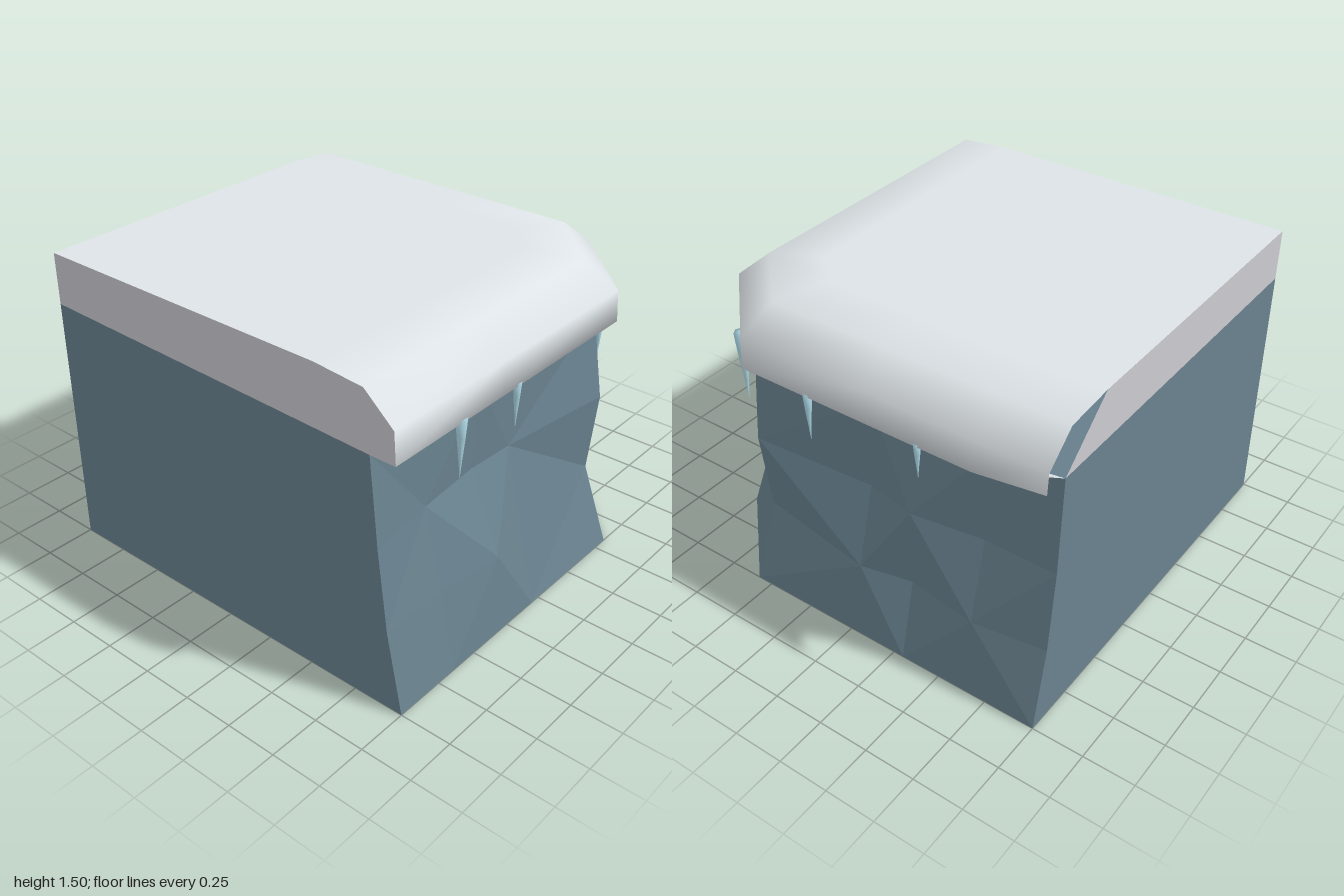
import * as THREE from 'three';

const rock = new THREE.MeshStandardMaterial({ color: 0x6a8390, flatShading: true });
rock.name = 'blue grey rock';
const snow = new THREE.MeshStandardMaterial({ color: 0xe8eef2, side: THREE.DoubleSide });
snow.name = 'snow';
const cutSnow = new THREE.MeshStandardMaterial({ color: 0xccccd2, side: THREE.DoubleSide });
cutSnow.name = 'cut snow';
const ice = new THREE.MeshStandardMaterial({ color: 0xb0dcea });
ice.name = 'ice';

function mesh(name, points, index, material) {
  const g = new THREE.BufferGeometry();
  g.setAttribute('position', new THREE.Float32BufferAttribute(points.flat(), 3));
  g.setIndex(index);
  g.computeVertexNormals();
  const m = new THREE.Mesh(g, material);
  m.name = name;
  return m;
}

// Flat polygon, fanned from its first corner
function polygon(name, points, material) {
  const index = [];
  for (let i = 1; i < points.length - 1; i++) index.push(0, i, i + 1);
  return mesh(name, points, index, material);
}

// Faceted cliff: depth of the front and side walls at four heights
const heights = [0, 0.39, 0.78, 1.2];
const frontColumns = [
  [-1, [1, 0.92, 0.87, 0.83]],
  [-0.65, [1, 0.92, 0.83, 0.83]],
  [-0.3, [1, 0.965, 0.805, 0.83]],
  [-0.05, [1, 0.91, 0.82, 0.83]],
  [0.58, [1, 0.87, 0.9, 0.83]],
];
const sideColumns = [
  [0.58, [1, 0.87, 0.9, 0.83]],
  [-0.05, [1, 0.965, 0.86, 0.83]],
  [-0.3, [1, 0.91, 0.91, 0.83]],
  [-0.65, [1, 0.96, 0.86, 0.83]],
  [-1, [1, 0.91, 0.86, 0.83]],
];

function buildRock() {
  const group = new THREE.Group();
  group.name = 'rock';
  const pinch = (t, r) => (t === 0.58 && r === 1 ? 0.56 : t);
  const columns = [
    ...frontColumns.map(([x, d]) => d.map((z, r) => [pinch(x, r), heights[r], z])),
    ...sideColumns.map(([z, d]) => d.map((x, r) => [x, heights[r], pinch(z, r)])),
  ];
  const last = columns.length - 1;
  columns[last][3][1] = 1.25;

  // Wall facets with alternating diagonals
  const index = [];
  for (let c = 0; c < last; c++) {
    for (let r = 0; r < 3; r++) {
      const a = c * 4 + r, b = a + 4, d = b + 1, e = a + 1;
      if ((c + r) % 2) index.push(a, b, d, a, d, e);
      else index.push(a, b, e, b, d, e);
    }
  }
  group.add(mesh('cliffWall', columns.flat(), index, rock));

  // Plain back, left end, base and top
  const foot = [-1, 0, -1], head = [-1, 1.25, -1];
  group.add(polygon('backWall', [foot, head, ...columns[last].slice().reverse()], rock));
  group.add(polygon('endWall', [foot, ...columns[0], head], rock));
  group.add(polygon('base', [foot, ...columns.map((c) => c[0]).reverse()], rock));
  group.add(polygon('rockTop', [head, ...columns.map((c) => c[3])], rock));
  return group;
}

// Snow cap: rings [reach, chamfer start, height] from underside to top
const rings = [
  [0.83, 0.58, 1.2],
  [0.957, 0.562, 1.2],
  [0.948, 0.56, 1.35],
  [0.8, 0.5, 1.48],
  [0.55, 0.4, 1.5],
];

function buildSnow() {
  const group = new THREE.Group();
  group.name = 'snowCap';
  const points = [], index = [], n = rings.length;
  const stations = 7;
  for (let s = 0; s < stations; s++) {
    rings.forEach(([d, a, y], r) => {
      const [x, z] = [[-1, d], [-0.3, d], [a, d], [d, a], [d, -0.1], [d, -0.65], [d, -1]][s];
      points.push([x, s === stations - 1 && r < 2 ? 1.25 : y, z]);
    });
  }
  for (let s = 0; s < stations - 1; s++) {
    for (let r = 0; r < n - 1; r++) {
      const a = s * n + r, b = a + n;
      // The lip stands free of the rock at the back end
      if (s === stations - 2 && r === 0) index.push(a, b, a + 1);
      else index.push(a, b, b + 1, a, b + 1, a + 1);
    }
  }
  const corner = points.length;
  points.push([-1, 1.5, -1]);
  for (let s = 0; s < stations - 1; s++) index.push(corner, s * n + n - 1, (s + 1) * n + n - 1);
  group.add(mesh('snowBlanket', points, index, snow));

  // Cut faces along the back and the left end
  group.add(polygon('backCut',
    [[-1, 1.25, -1], [-1, 1.5, -1], [0.55, 1.5, -1], [0.83, 1.25, -1]], cutSnow));
  group.add(polygon('endCut',
    [[-1, 1.25, -1], ...rings.map(([d, , y]) => [-1, y, d]), [-1, 1.5, -1]], cutSnow));
  return group;
}

// Icicle hanging from the lip
function icicle([x, z, tip, radius]) {
  const h = 1.21 - tip;
  const profile = [[0, 0], [radius * 0.3, h * 0.3], [radius * 0.75, h * 0.7], [radius, h], [0, h]];
  const m = new THREE.Mesh(
    new THREE.LatheGeometry(profile.map(([r, y]) => new THREE.Vector2(r, y)), 6), ice);
  m.position.set(x, tip, z);
  m.name = 'icicle';
  return m;
}

export function createModel() {
  const model = new THREE.Group();
  model.name = 'snowyCliffCorner';
  model.add(buildRock(), buildSnow());
  [
    [-0.58, 0.945, 0.93, 0.027],
    [-0.2, 0.945, 0.99, 0.021],
    [0.76, 0.76, 0.845, 0.035],
    [0.945, 0.2, 0.97, 0.021],
    [0.945, -0.38, 1.03, 0.018],
  ].forEach((spec) => model.add(icicle(spec)));
  return model;
}
